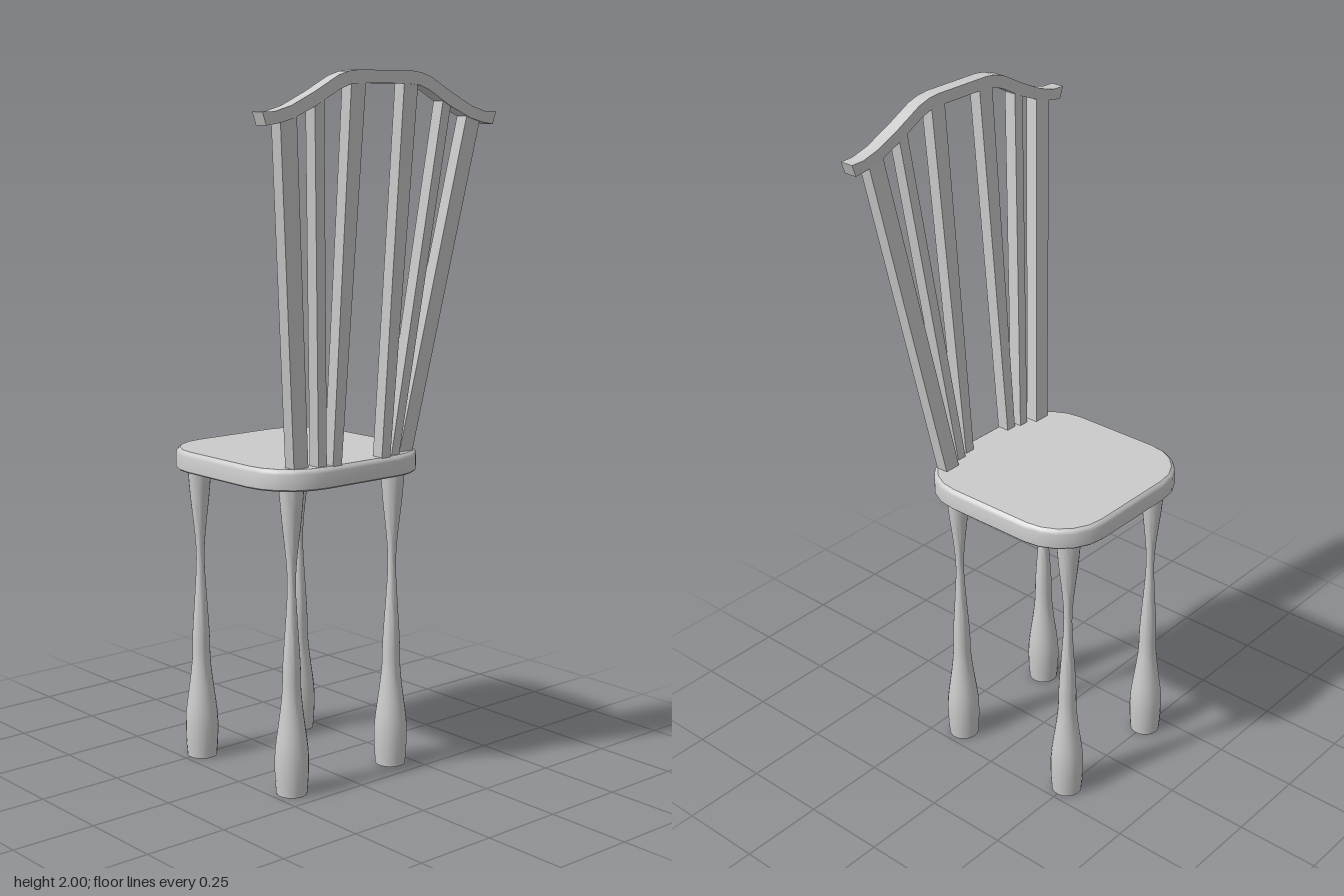
import * as THREE from 'three';
import { toCreasedNormals } from 'three/addons/utils/BufferGeometryUtils.js';

const material = new THREE.MeshStandardMaterial({ color: 0xcccccc });

function addMesh(group, name, geometry) {
  const mesh = new THREE.Mesh(geometry, material);
  mesh.name = name;
  group.add(mesh);
  return mesh;
}

// Joins rings of equal length, listed from bottom to top, into a surface.
// Each ring runs from +x towards +z.
function loft(rings, capped = false) {
  const n = rings[0].length, index = [];
  for (let r = 0; r < rings.length - 1; r++) {
    for (let i = 0; i < n; i++) {
      const j = (i + 1) % n, a = r * n + i, b = r * n + j;
      index.push(a, a + n, b, b, a + n, b + n);
    }
  }
  if (capped) {
    const t = (rings.length - 1) * n;
    for (let i = 1; i < n - 1; i++) index.push(0, i, i + 1, t, t + i + 1, t + i);
  }
  const geometry = new THREE.BufferGeometry();
  geometry.setAttribute('position', new THREE.Float32BufferAttribute(rings.flat(2), 3));
  geometry.setIndex(index);
  return toCreasedNormals(geometry, 0.6);
}

// Rounded-square ring: core rectangle scaled by s, corner radius r, height y
function seatRing([s, r, y]) {
  const ring = [], cx = -0.04, coreX = 0.135, coreZ = 0.135;
  const signs = [[1, 1], [-1, 1], [-1, -1], [1, -1]];
  signs.forEach(([sx, sz], q) => {
    for (let k = 0; k <= 5; k++) {
      const a = (q + k / 5) * Math.PI / 2;
      ring.push([cx + sx * coreX * s + r * Math.cos(a), y, sz * coreZ * s + r * Math.sin(a)]);
    }
  });
  return ring;
}

// Slat cross-section, a rectangle at height y
const slatRing = (x0, x1, z0, z1, y) => [[x1, y, z0], [x1, y, z1], [x0, y, z1], [x0, y, z0]];

export function createModel() {
  const chair = new THREE.Group();
  chair.name = 'chair';

  // Seat with a softened upper edge
  addMesh(chair, 'seat', loft([
    [0, 0, 0.88], [1, 0.152, 0.88], [1, 0.156, 0.884], [1, 0.156, 0.926],
    [1, 0.153, 0.934], [1, 0.145, 0.94], [0, 0, 0.94],
  ].map(seatRing)));

  // Four turned legs
  const curve = new THREE.SplineCurve([
    [0.044, 0], [0.048, 0.06], [0.047, 0.13], [0.034, 0.23], [0.027, 0.3], [0.025, 0.38],
    [0.017, 0.5], [0.012, 0.6], [0.016, 0.68], [0.028, 0.79], [0.036, 0.89],
  ].map(([r, y]) => new THREE.Vector2(r, y)));
  const profile = [new THREE.Vector2(0, 0), ...curve.getPoints(30)];
  const legGeometry = toCreasedNormals(new THREE.LatheGeometry(profile, 20), 0.6);
  for (const x of [-0.25, 0.165]) {
    for (const z of [-0.19, 0.19]) {
      addMesh(chair, x < 0 ? 'frontLeg' : 'backLeg', legGeometry).position.set(x, 0, z);
    }
  }

  // Fanned slats: bottom x, bottom z range, top z range, top height
  const slats = [
    ['innerSlat', 0.205, 0.075, 0.107, 0.069, 0.12, 1.972],
    ['middleSlat', 0.195, 0.12, 0.15, 0.214, 0.246, 1.92],
    ['outerSlat', 0.175, 0.169, 0.22, 0.306, 0.361, 1.88],
  ];
  for (const [name, x, a0, a1, b0, b1, top] of slats) {
    for (const side of [1, -1]) {
      const span = (p, q) => (side > 0 ? [p, q] : [-q, -p]);
      addMesh(chair, name, loft([
        slatRing(x, x + 0.037, ...span(a0, a1), 0.93),
        slatRing(0.289, 0.326, ...span(b0, b1), top),
      ], true));
    }
  }

  // Curved top rail, drawn in the z-y plane and extruded along x
  const upper = [[0.42, 1.892], [0.38, 1.893], [0.325, 1.908], [0.246, 1.944],
    [0.167, 1.985], [0.13, 1.996], [0.095, 2]];
  const lower = [[0.085, 1.966], [0.125, 1.962], [0.16, 1.95], [0.24, 1.908],
    [0.32, 1.875], [0.37, 1.863], [0.408, 1.858]];
  const half = [...lower, ...upper];
  const outline = [...half, ...half.slice().reverse().map(([z, y]) => [-z, y])];
  const railShape = new THREE.Shape(outline.map(([z, y]) => new THREE.Vector2(z, y)));
  const railGeometry = new THREE.ExtrudeGeometry(railShape, { depth: 0.041, bevelEnabled: false });
  railGeometry.rotateY(Math.PI / 2);
  addMesh(chair, 'topRail', toCreasedNormals(railGeometry, 0.5)).position.x = 0.287;

  return chair;
}
